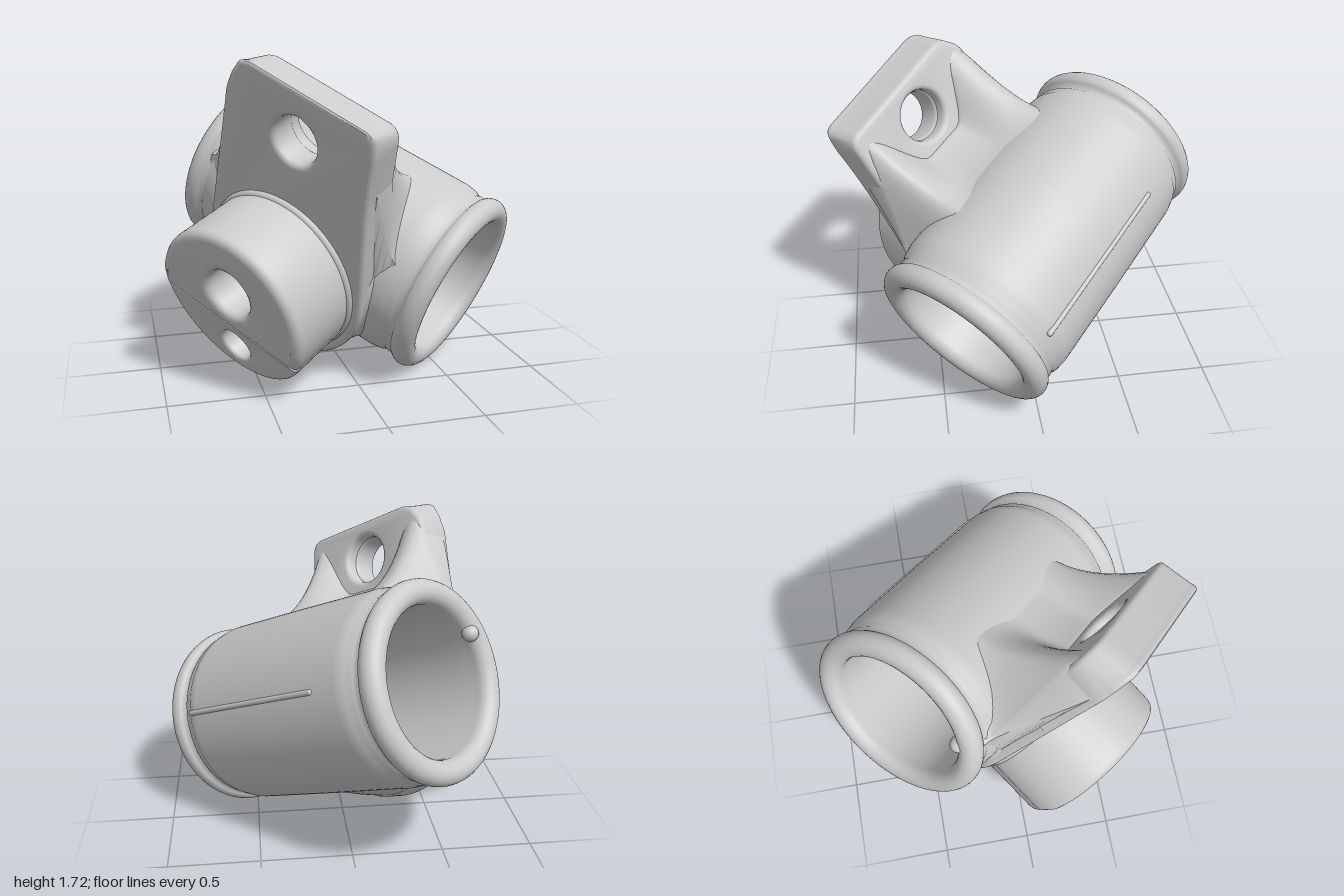
import * as THREE from 'three';
import { toCreasedNormals } from 'three/addons/utils/BufferGeometryUtils.js';

const material = new THREE.MeshStandardMaterial({ color: 0xcccccc, side: THREE.DoubleSide });
const { lerp, smoothstep } = THREE.MathUtils;

function addPart(group, name, geometry) {
  const mesh = new THREE.Mesh(geometry, material);
  mesh.name = name;
  group.add(mesh);
  return mesh;
}

// Skin a list of equal-length cross-sections, each a closed loop of [x, y, z]
function loft(sections) {
  const n = sections[0].length, index = [];
  for (let i = 0; i < sections.length - 1; i++)
    for (let j = 0; j < n; j++) {
      const a = i * n + j, b = i * n + (j + 1) % n;
      index.push(a, a + n, b, b, a + n, b + n);
    }
  const g = new THREE.BufferGeometry();
  g.setAttribute('position', new THREE.Float32BufferAttribute(sections.flat(2), 3));
  g.setIndex(index);
  g.computeVertexNormals();
  return toCreasedNormals(g, 0.8);
}

// Extrude along z with rounded edges kept inside the outline, then slant the
// lug's top edge (rising outwards) and the low side of the boss face (set back)
function slab(shape, z0, z1, bevel) {
  const g = new THREE.ExtrudeGeometry(shape, {
    depth: z1 - z0 - 2 * bevel, bevelThickness: bevel, bevelSize: bevel,
    bevelOffset: -bevel, bevelSegments: 4, curveSegments: 40,
  });
  g.translate(0, 0, z0 + bevel);
  const p = g.attributes.position;
  for (let i = 0; i < p.count; i++) {
    const y = p.getY(i), z = p.getZ(i);
    p.setY(i, y + 0.5 * Math.max(0, z - 0.45) * smoothstep(y, 0.98, 1.04));
    if (z > 0.8) p.setZ(i, z + 0.14 * Math.min(0, y));
  }
  return toCreasedNormals(g, 0.6);
}

function addHole(shape, x, y, r) {
  shape.holes.push(new THREE.Path().absarc(x, y, r, 0, Math.PI * 2, true));
}

// Squared top of the lug, drawn from its right side to its left
function lugTop(shape) {
  shape.quadraticCurveTo(0.42, 1.05, 0.35, 1.06);
  shape.lineTo(-0.31, 1.09);
  shape.quadraticCurveTo(-0.36, 1.09, -0.4, 1.06);
  shape.lineTo(-0.44, 1.01);
  shape.quadraticCurveTo(-0.47, 0.97, -0.47, 0.88);
}

// Working axes: x along the bore, y up the lug, z out through the boss
export function createModel() {
  const model = new THREE.Group();
  model.name = 'pipeFitting';
  const fitting = new THREE.Group();
  fitting.name = 'fitting';
  model.add(fitting);

  // Hollow tube with a rounded lip and a groove at each end
  const half = [[0.518, 0], [0.516, 0.54], [0.506, 0.6], [0.49, 0.63], [0.494, 0.65], [0.475, 0.675]];
  for (let i = 0; i <= 14; i++) {
    const t = -0.7 + (i / 14) * (Math.PI + 0.9);
    half.push([0.453 + 0.066 * Math.cos(t), 0.735 + 0.066 * Math.sin(t)]);
  }
  half.push([0.387, 0.68], [0.385, 0.62], [0.385, 0]);
  const mirrored = half.slice(1, -1).map(([r, h]) => [r, -h]).reverse();
  const profile = [...half, ...mirrored, half[0]].map(([r, h]) => new THREE.Vector2(r, h));
  profile.reverse();
  const tube = new THREE.LatheGeometry(profile, 96);
  tube.rotateZ(-Math.PI / 2);
  addPart(fitting, 'tube', tube);

  // Casting seam along the side away from the boss
  const seam = new THREE.CapsuleGeometry(0.016, 0.96, 6, 12);
  seam.rotateZ(Math.PI / 2);
  addPart(fitting, 'seam', seam).position.set(0.1, -0.03, -0.511);

  // Small casting bump on the back lip
  addPart(fitting, 'lipBump', new THREE.SphereGeometry(0.045, 20, 14)).position.set(-0.765, 0.265, 0.3);

  // Mounting plate: squared lug at the top, rounded around the boss below
  const plate = new THREE.Shape();
  plate.moveTo(0.52, 0);
  plate.bezierCurveTo(0.5, 0.3, 0.43, 0.6, 0.42, 0.96);
  lugTop(plate);
  plate.lineTo(-0.52, 0);
  plate.absellipse(0, 0, 0.52, 0.56, Math.PI, Math.PI * 2, false);
  addHole(plate, -0.02, 0.85, 0.13);
  addPart(fitting, 'plate', slab(plate, 0.41, 0.575, 0.03));

  // Thick upper part of the lug, relieved around the cross hole
  const lug = new THREE.Shape();
  lug.moveTo(0.45, 0.5);
  lug.lineTo(0.42, 0.96);
  lugTop(lug);
  lug.lineTo(-0.5, 0.5);
  addHole(lug, -0.02, 0.85, 0.14);
  addPart(fitting, 'lug', slab(lug, 0.345, 0.56, 0.03));

  // Concave web from lug to tube, scooped below the hole and fading out at both ends
  const web = [];
  for (let i = 0; i <= 48; i++) {
    const x = lerp(-0.68, 0.6, i / 48);
    const k = smoothstep(Math.abs(x + 0.02), 0.12, 0.37);
    const e = smoothstep(Math.abs(x + 0.04), 0.37, 0.63);
    const top = lerp(0.66 + 0.33 * k, 0.3, e), outer = lerp(0.55, 0.4, e);
    const start = [top, lerp(0.35, 0.4, e)];
    const control = [lerp(0.52 + 0.08 * k, 0.3, e), lerp(0.18, 0.36, e)];
    const foot = [lerp(0.5, 0.36, e), lerp(-0.05, 0.3, e)];
    const section = [];
    for (let j = 0; j <= 14; j++) {
      const t = j / 14, s = 1 - t;
      const [y, z] = [0, 1].map((c) => s * s * start[c] + 2 * s * t * control[c] + t * t * foot[c]);
      section.push([x, y, z]);
    }
    for (const angle of [1.05, 0.7, 0.35, 0])
      section.push([x, 0.45 * Math.sin(angle), 0.45 * Math.cos(angle)]);
    section.push([x, 0, lerp(0.55, 0.46, e)], [x, top, outer]);
    web.push(section);
  }
  addPart(fitting, 'web', loft(web));

  // Saddle that blends the plate into the round of the tube
  const saddle = [];
  for (let i = 0; i <= 12; i++) {
    const t = 1 - i / 12, ring = [];
    for (let j = 0; j < 72; j++) {
      const angle = (j / 72) * Math.PI * 2;
      const x = (0.515 + 0.1 * t * t) * Math.cos(angle);
      const y = (0.555 - 0.06 * t * t) * Math.sin(angle);
      const base = Math.sqrt(Math.max(0.47 * 0.47 - y * y, 0));
      ring.push([x, y, lerp(0.55, base, t)]);
    }
    saddle.push(ring);
  }
  addPart(fitting, 'saddle', loft(saddle));

  // Round boss in two halves, the lower one set slightly back
  const cut = 0.27;
  const upper = new THREE.Shape();
  upper.absarc(0, 0, 0.46, -cut, Math.PI + cut, false);
  addHole(upper, -0.01, 0.115, 0.135);
  addPart(fitting, 'bossUpper', slab(upper, 0.5, 1.0, 0.045));
  const lower = new THREE.Shape();
  lower.absarc(0, 0, 0.465, Math.PI + cut, Math.PI * 2 - cut, false);
  addHole(lower, 0.03, -0.285, 0.095);
  addPart(fitting, 'bossLower', slab(lower, 0.5, 0.985, 0.025));

  // Rounded collar where the boss meets the plate
  addPart(fitting, 'bossCollar', new THREE.TorusGeometry(0.447, 0.03, 12, 72)).position.z = 0.575;

  // Tilt the whole fitting into place
  const along = new THREE.Vector3(0.64, -0.385, 0.66).normalize();
  const out = new THREE.Vector3(-0.775, -0.315, 0.55);
  out.addScaledVector(along, -out.dot(along)).normalize();
  const up = new THREE.Vector3().crossVectors(out, along);
  fitting.quaternion.setFromRotationMatrix(new THREE.Matrix4().makeBasis(along, up, out));
  fitting.position.set(0.085, 0.758, -0.11);
  return model;
}
